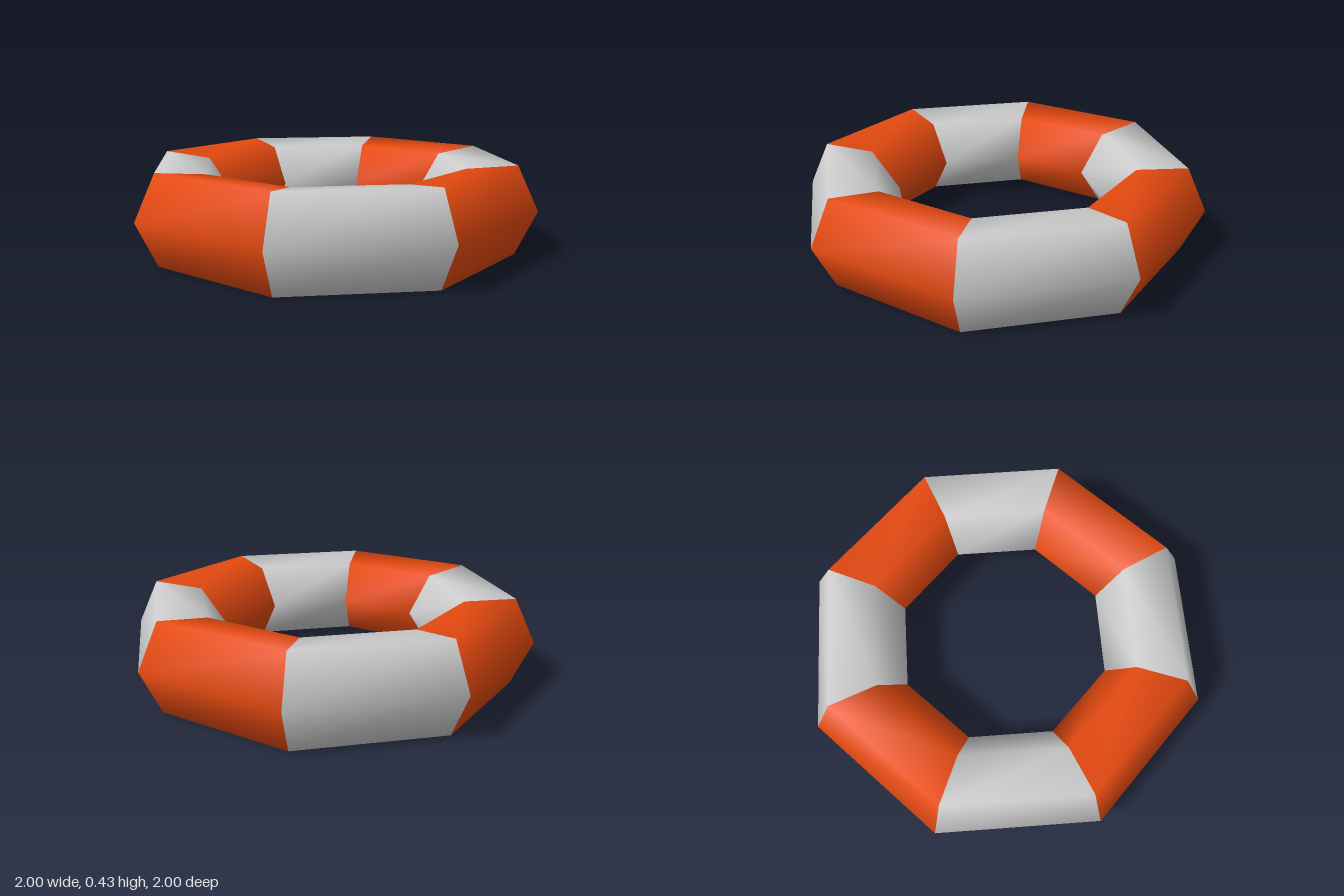
import * as THREE from 'three';

// Six-sided tube section as [radius, height], counter-clockwise from the outer edge
const MID = 0.214;
const SECTION = [[1, 0], [0.9, 0.214], [0.66, 0.188], [0.527, 0], [0.66, -0.188], [0.9, -0.214]];
const SEGMENTS = 8;

// One straight tube piece between two mitred joints, smooth around the tube
function segmentGeometry(start, end) {
  const positions = [];
  const index = [];
  const n = SECTION.length;
  for (const angle of [start, end]) {
    for (const [r, y] of SECTION) {
      positions.push(r * Math.cos(angle), MID + y, r * Math.sin(angle));
    }
  }
  for (let i = 0; i < n; i++) {
    const j = (i + 1) % n;
    index.push(i, j, n + i, j, n + j, n + i);
  }
  const geometry = new THREE.BufferGeometry();
  geometry.setAttribute('position', new THREE.Float32BufferAttribute(positions, 3));
  geometry.setIndex(index);
  geometry.computeVertexNormals();
  return geometry;
}

export function createModel() {
  const group = new THREE.Group();
  group.name = 'lifebuoy';
  const orange = new THREE.MeshStandardMaterial({ color: 0xe64a10 });
  const grey = new THREE.MeshStandardMaterial({ color: 0xcccccc });

  // Ring of alternating orange and grey pieces
  const step = (Math.PI * 2) / SEGMENTS;
  for (let i = 0; i < SEGMENTS; i++) {
    const isOrange = i % 2 === 0;
    const mesh = new THREE.Mesh(segmentGeometry(i * step, (i + 1) * step), isOrange ? orange : grey);
    mesh.name = (isOrange ? 'orangeSegment' : 'greySegment') + (Math.floor(i / 2) + 1);
    group.add(mesh);
  }
  return group;
}
